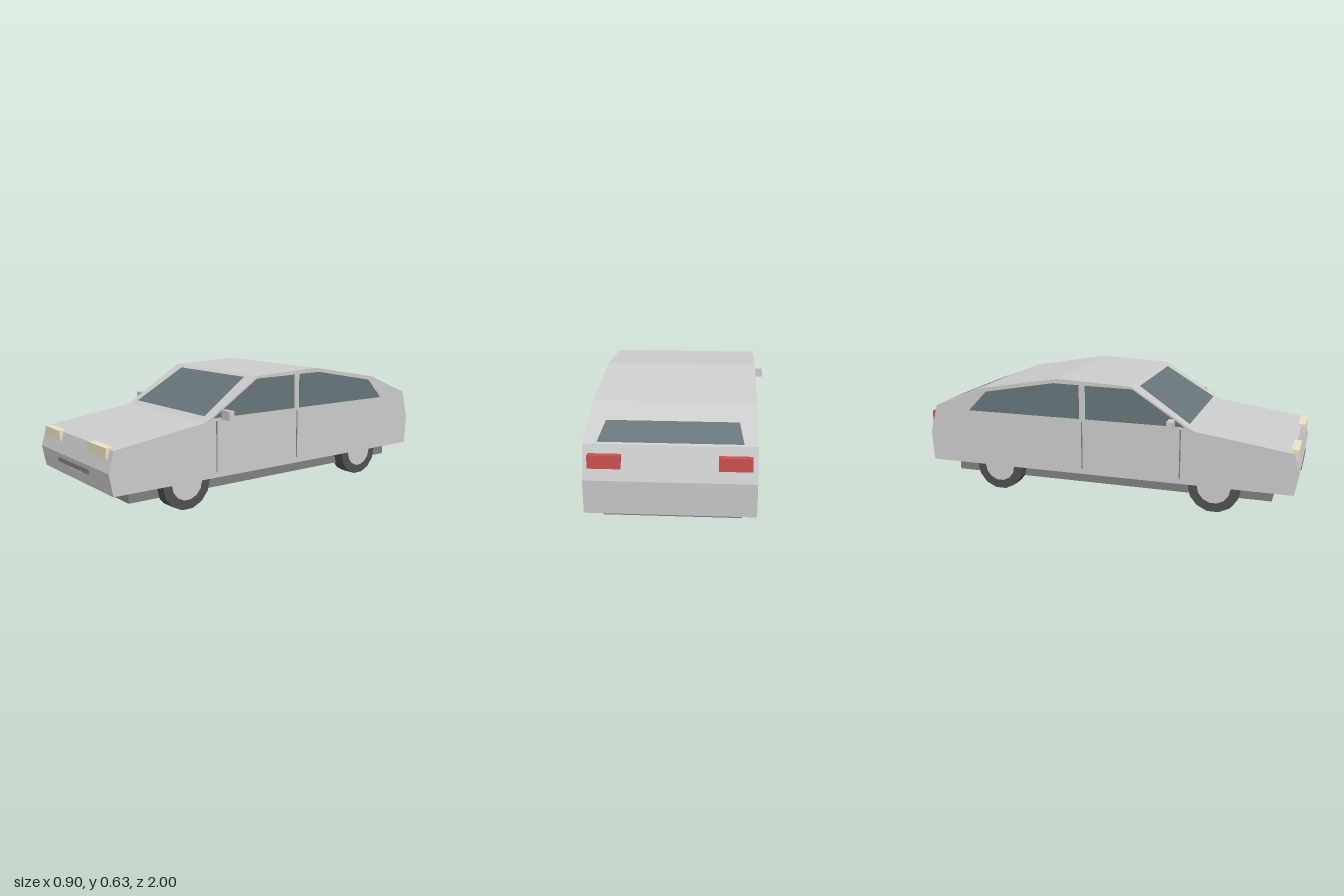
import * as THREE from 'three';

const mat = (color, extra = {}) => new THREE.MeshStandardMaterial({ color, flatShading: true, ...extra });
const grey = mat(0xcccccc);
const glass = mat(0x68757b);
const rubber = mat(0x505050);
const trim = mat(0x808080);
const lamp = mat(0xecdfc5);
const red = mat(0xcc5050);

export function createModel() {
  const car = new THREE.Group();

  const add = (name, geometry, material) => {
    const mesh = new THREE.Mesh(geometry, material);
    mesh.name = name;
    car.add(mesh);
    return mesh;
  };

  // Box given by its min and max on each axis
  const box = (name, [x0, x1], [y0, y1], [z0, z1], material) =>
    add(name, new THREE.BoxGeometry(x1 - x0, y1 - y0, z1 - z0), material)
      .position.set((x0 + x1) / 2, (y0 + y1) / 2, (z0 + z1) / 2);

  // Side outline of [z, y] points, extruded across x and centred at the given x
  const slab = (name, points, width, x, material) => {
    const shape = new THREE.Shape(points.map(p => new THREE.Vector2(...p)));
    const geometry = new THREE.ExtrudeGeometry(shape, { depth: width, bevelEnabled: false });
    geometry.translate(0, 0, -width / 2).rotateY(-Math.PI / 2).translate(x, 0, 0);
    add(name, geometry, material);
  };

  // Four-cornered pane, corners anticlockwise from outside
  const pane = (name, corners, material) => {
    const geometry = new THREE.BufferGeometry();
    geometry.setAttribute('position', new THREE.Float32BufferAttribute(corners.flat(), 3));
    geometry.setIndex([0, 1, 2, 0, 2, 3]);
    geometry.computeVertexNormals();
    add(name, geometry, material);
  };

  // Body shell and underbody
  slab('body', [
    [0.98, 0.132], [1, 0.24], [0.97, 0.342], [0.48, 0.413], [0.157, 0.617],
    [-0.24, 0.633], [-0.678, 0.557], [-0.957, 0.445], [-1, 0.29], [-0.99, 0.132],
  ], 0.762, 0, grey);
  box('underbody', [-0.318, 0.318], [0.067, 0.128], [-0.866, 0.872], trim);

  // Windscreen and rear window, just above the sloping panels
  pane('windscreen', [
    [-0.33, 0.435, 0.451], [0.33, 0.435, 0.451], [0.295, 0.606, 0.181], [-0.295, 0.606, 0.181],
  ], glass);
  pane('rearWindow', [
    [0.32, 0.452, -0.951], [-0.32, 0.452, -0.951], [-0.3, 0.507, -0.812], [0.3, 0.507, -0.812],
  ], glass);

  // Grille and number plate strip
  box('grille', [-0.172, 0.172], [0.194, 0.218], [0.97, 0.999], trim);
  box('plateStrip', [-0.07, 0.07], [0.184, 0.193], [0.97, 0.994], grey);

  for (const side of [1, -1]) {
    const prefix = side > 0 ? 'left' : 'right';
    const span = (a, b) => (side > 0 ? [a, b] : [-b, -a]);

    // Side windows
    slab(prefix + 'FrontWindow',
      [[0.435, 0.43], [0.165, 0.604], [-0.086, 0.607], [-0.086, 0.43]], 0.004, side * 0.381, glass);
    slab(prefix + 'RearWindow',
      [[-0.12, 0.43], [-0.12, 0.608], [-0.26, 0.61], [-0.65, 0.54], [-0.757, 0.43]], 0.004, side * 0.381, glass);

    // Door seams
    for (const z of [0.415, -0.107])
      box(prefix + 'DoorSeam', span(0.379, 0.383), [0.162, 0.415], [z - 0.003, z + 0.003], trim);

    // Mirror and lamps
    box(prefix + 'Mirror', span(0.38, 0.45), [0.421, 0.467], [0.358, 0.388], grey);
    box(prefix + 'Headlight', span(0.16, 0.342), [0.298, 0.35], [0.953, 0.992], lamp);
    box(prefix + 'TailLight', span(0.212, 0.358), [0.345, 0.405], [-0.999, -0.95], red);

    // Wheels with flush hub discs
    for (const z of [0.59, -0.587]) {
      const name = prefix + (z > 0 ? 'Front' : 'Rear');
      const wheel = new THREE.CylinderGeometry(0.133, 0.133, 0.083, 14).rotateZ(Math.PI / 2);
      add(name + 'Wheel', wheel, rubber).position.set(side * 0.3385, 0.133, z);
      const hub = new THREE.CylinderGeometry(0.085, 0.085, 0.01, 14).rotateZ(Math.PI / 2);
      add(name + 'Hub', hub, grey).position.set(side * 0.378, 0.133, z);
    }
  }
  return car;
}
